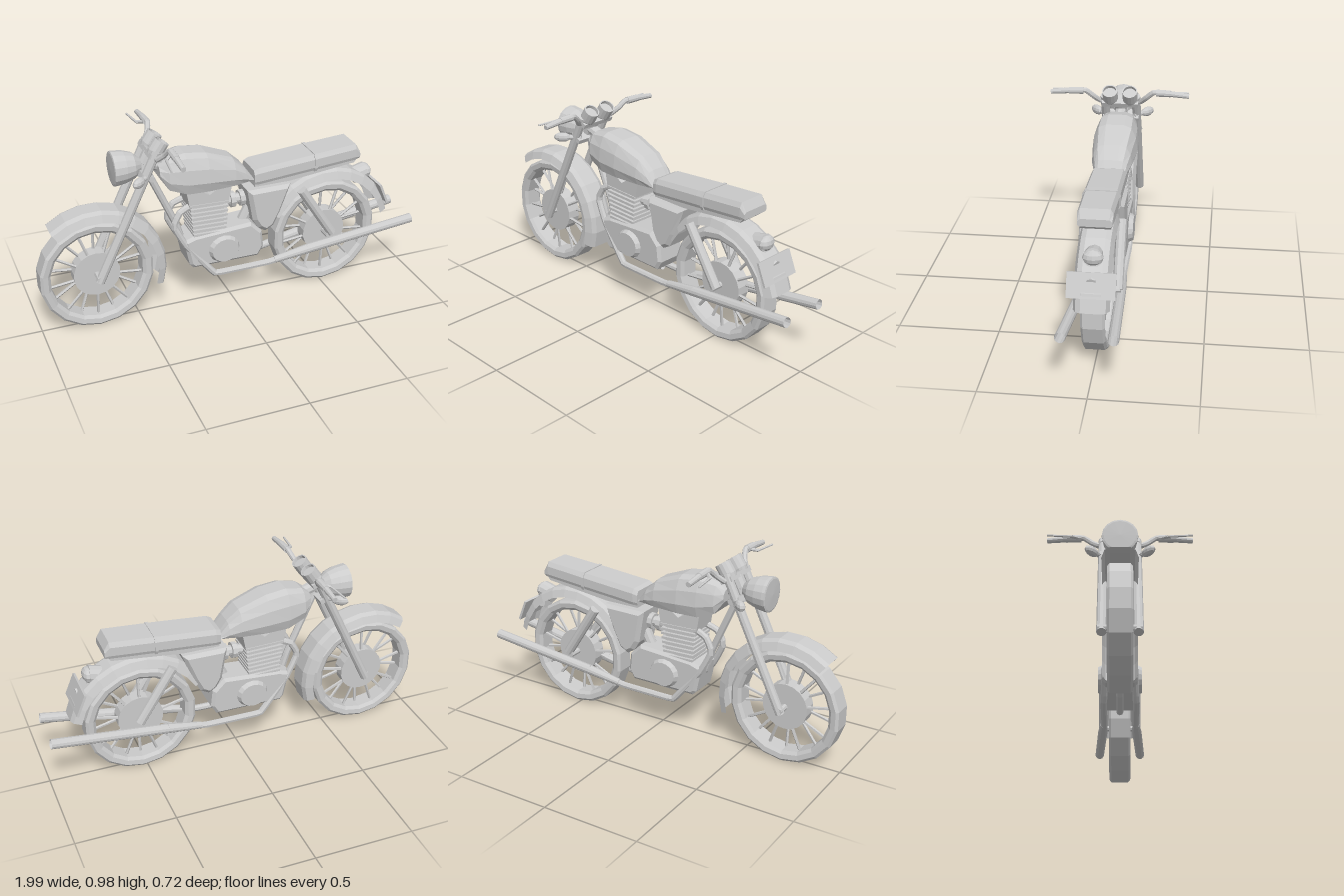
import * as THREE from 'three';

const V = (x, y, z) => new THREE.Vector3(x, y, z);
const SIDES = [1, -1];

export function createModel() {
  const root = new THREE.Group();
  root.name = 'motorcycle';
  const solid = new THREE.MeshStandardMaterial({ color: 0xcccccc, flatShading: true });
  const thin = new THREE.MeshStandardMaterial({ color: 0xcccccc, flatShading: true, side: THREE.DoubleSide });

  const add = (name, geo, parent = root, mat = solid) => {
    const m = new THREE.Mesh(geo, mat);
    m.name = name;
    parent.add(m);
    return m;
  };

  // Round bar between two points
  const rod = (name, a, b, r1, r2 = r1, sides = 10, parent = root, open = false) => {
    const dir = b.clone().sub(a);
    const geo = new THREE.CylinderGeometry(r2, r1, dir.length(), sides, 1, open);
    const m = add(name, geo, parent, open ? thin : solid);
    m.position.copy(a).add(b).multiplyScalar(0.5);
    m.quaternion.setFromUnitVectors(V(0, 1, 0), dir.normalize());
    return m;
  };

  // Bent pipe through points
  const pipe = (name, pts, r, segs = 24) => {
    const curve = new THREE.CatmullRomCurve3(pts, false, 'catmullrom', 0.2);
    return add(name, new THREE.TubeGeometry(curve, segs, r, 8), root, thin);
  };

  // Side outline extruded across z, centred on z = 0
  const slab = (name, pts, half, bevel = 0) => {
    const shape = new THREE.Shape(pts.map(([x, y]) => new THREE.Vector2(x, y)));
    const depth = 2 * (half - bevel);
    const geo = new THREE.ExtrudeGeometry(shape, {
      depth, bevelEnabled: bevel > 0, bevelSize: bevel, bevelOffset: -bevel, bevelThickness: bevel, bevelSegments: 1,
    });
    geo.translate(0, 0, -depth / 2);
    return add(name, geo);
  };

  // Loft along x: stations [x, bottom, top, halfWidth], half section [width, height] from bottom to top
  const loft = (name, stations, half) => {
    const ring = [...half, ...half.map(([w, h]) => [-w, h]).reverse()];
    const n = ring.length, pos = [], idx = [];
    for (const [x, yb, yt, w] of stations)
      for (const [u, v] of ring) pos.push(x, yb + (yt - yb) * v, w * u);
    for (let s = 0; s < stations.length - 1; s++)
      for (let i = 0; i < n; i++) {
        const a = s * n + i, b = s * n + (i + 1) % n;
        idx.push(a, a + n, b, b, a + n, b + n);
      }
    const end = (stations.length - 1) * n;
    for (let i = 1; i < n - 1; i++) idx.push(0, i, i + 1, end, end + i + 1, end + i);
    const geo = new THREE.BufferGeometry();
    geo.setAttribute('position', new THREE.Float32BufferAttribute(pos, 3));
    geo.setIndex(idx);
    geo.computeVertexNormals();
    return add(name, geo);
  };

  const lathe = (profile, segs, start = 0, length = Math.PI * 2) =>
    new THREE.LatheGeometry(profile.map(([r, y]) => new THREE.Vector2(r, y)), segs, start, length);

  // Wheels
  const wheel = (name, x) => {
    const g = new THREE.Group();
    g.name = name;
    g.position.set(x, 0.29, 0);
    root.add(g);
    const tyre = [[0.235, -0.04], [0.25, -0.053], [0.275, -0.056], [0.288, -0.045], [0.288, 0.045],
      [0.275, 0.056], [0.25, 0.053], [0.235, 0.04], [0.235, -0.04]];
    add('tyre', lathe(tyre, 18).rotateX(Math.PI / 2), g);
    add('hub', new THREE.CylinderGeometry(0.118, 0.118, 0.07, 18).rotateX(Math.PI / 2), g);
    rod('axle', V(0, 0, -0.1), V(0, 0, 0.1), 0.016, 0.016, 8, g);
    for (let i = 0; i < 18; i++) {
      const t = (i + 0.5) / 18 * Math.PI * 2, c = Math.cos(t), s = Math.sin(t), z = i % 2 ? 0.022 : -0.022;
      rod('spoke', V(c * 0.11, s * 0.11, z), V(c * 0.24, s * 0.24, z * 0.5), 0.008, 0.008, 5, g);
    }
  };
  wheel('frontWheel', -0.71);
  wheel('rearWheel', 0.52);

  // Mudguards, angles in degrees from +x
  const fender = (name, x, from, to, r) => {
    const profile = [[r - 0.05, -0.083], [r - 0.012, -0.068], [r, -0.045], [r, 0.045], [r - 0.012, 0.068], [r - 0.05, 0.083]];
    const rad = Math.PI / 180;
    const geo = lathe(profile, 10, (from + 90) * rad, (to - from) * rad).rotateX(Math.PI / 2);
    add(name, geo, root, thin).position.set(x, 0.29, 0);
  };
  fender('frontFender', -0.71, -18, 128, 0.355);
  fender('rearFender', 0.52, 12, 152, 0.365);

  // Tank and seat
  loft('fuelTank', [
    [-0.38, 0.765, 0.825, 0.07], [-0.34, 0.705, 0.853, 0.098], [-0.25, 0.672, 0.872, 0.112], [-0.14, 0.67, 0.858, 0.115],
    [0, 0.67, 0.805, 0.1], [0.06, 0.67, 0.75, 0.085], [0.105, 0.67, 0.685, 0.072],
  ], [[0.85, 0], [1, 0.28], [0.93, 0.65], [0.72, 0.92], [0.4, 1]]);
  const seatSection = [[0.92, 0], [1, 0.2], [1, 0.72], [0.84, 1]];
  loft('seat', [[0.105, 0.65, 0.725, 0.08], [0.13, 0.65, 0.735, 0.085], [0.4, 0.672, 0.757, 0.086],
    [0.665, 0.692, 0.777, 0.082], [0.69, 0.698, 0.735, 0.078]], seatSection);
  loft('seatStrap', [[0.43, 0.67, 0.763, 0.09], [0.445, 0.671, 0.764, 0.09]], seatSection);
  slab('seatBase', [[0.11, 0.635], [0.3, 0.635], [0.66, 0.675], [0.68, 0.7], [0.11, 0.66]], 0.07);

  // Engine
  slab('crankcase', [[-0.24, 0.26], [-0.22, 0.24], [0.13, 0.24], [0.16, 0.29], [0.15, 0.38], [0.09, 0.44], [-0.21, 0.42], [-0.27, 0.4]], 0.085, 0.015);
  for (const s of SIDES) {
    const cover = add('engineCover', new THREE.CylinderGeometry(0.07, 0.087, 0.03, 16).rotateX(s * Math.PI / 2));
    cover.position.set(-0.06, 0.325, s * 0.093);
    cover.scale.y = 0.9;
  }
  add('cylinderBarrel', new THREE.BoxGeometry(0.16, 0.2, 0.12)).position.set(-0.132, 0.49, 0);
  for (let i = 0; i < 8; i++) {
    const f = add('coolingFin', new THREE.BoxGeometry(0.17 + 0.005 * i, 0.012, 0.15));
    f.position.set(-0.132, 0.42 + i * 0.0235, 0);
    f.rotation.z = -0.03;
  }
  slab('cylinderHead', [[-0.235, 0.58], [-0.03, 0.58], [-0.012, 0.67], [-0.075, 0.67], [-0.13, 0.635], [-0.19, 0.67], [-0.25, 0.67]], 0.07);
  rod('carburettor', V(-0.04, 0.55, 0), V(0.1, 0.555, 0), 0.028, 0.028, 10);
  for (const x of [0, 0.05]) rod('carburettorRing', V(x, 0.552, 0), V(x + 0.025, 0.553, 0), 0.042, 0.042, 10);
  slab('sideCover', [[0.07, 0.62], [0.1, 0.45], [0.13, 0.4], [0.17, 0.375], [0.215, 0.4], [0.25, 0.47], [0.305, 0.62]], 0.09, 0.02);
  rod('rearEngineMount', V(0.07, 0.42, 0), V(0.11, 0.5, 0), 0.03);

  // Frame
  rod('headstock', V(-0.47, 0.775, 0), V(-0.41, 0.89, 0), 0.032);
  rod('topTube', V(-0.45, 0.84, 0), V(-0.33, 0.8, 0), 0.03);
  pipe('downTube', [V(-0.44, 0.82, 0), V(-0.29, 0.48, 0), V(-0.25, 0.36, 0), V(-0.14, 0.22, 0), V(0.1, 0.22, 0)], 0.018);

  // Fork, suspension, exhaust and indicators on both sides
  for (const s of SIDES) {
    rod('forkLeg', V(-0.71, 0.27, s * 0.082), V(-0.4, 0.92, s * 0.082), 0.023);
    rod('shockAbsorber', V(0.36, 0.58, s * 0.088), V(0.54, 0.3, s * 0.088), 0.025);
    pipe('exhaustPipe', [V(-0.2, 0.59, s * 0.045), V(-0.28, 0.56, s * 0.055), V(-0.315, 0.49, s * 0.06), V(-0.255, 0.37, s * 0.068),
      V(-0.12, 0.2, s * 0.078), V(-0.09, 0.188, s * 0.08), V(0.19, 0.19, s * 0.08), V(0.3, 0.212, s * 0.085)], 0.017, 32);
    rod('silencer', V(0.22, 0.197, s * 0.082), V(0.4, 0.228, s * 0.09), 0.018, 0.025, 12);
    rod('silencer', V(0.4, 0.228, s * 0.09), V(0.995, 0.31, s * 0.117), 0.025, 0.025, 12, root, true);
    rod('indicatorStem', V(-0.43, 0.8, s * 0.07), V(-0.48, 0.8, s * 0.11), 0.012);
    const lamp = add('indicator', new THREE.SphereGeometry(1, 10, 6));
    lamp.scale.set(0.045, 0.025, 0.022);
    lamp.position.set(-0.505, 0.8, s * 0.135);
    lamp.rotation.y = s * 0.7;
  }
  for (const [x, y] of [[-0.405, 0.89], [-0.45, 0.795]]) {
    const yoke = add('forkYoke', new THREE.BoxGeometry(0.065, 0.025, 0.19));
    yoke.position.set(x, y, 0);
    yoke.rotation.z = -0.45;
  }

  // Headlight with a flat lens
  const bowl = [[0, -0.15], [0.035, -0.14], [0.065, -0.105], [0.08, -0.06], [0.086, -0.015], [0.086, 0], [0.077, 0.003], [0, 0.006]];
  add('headlight', lathe(bowl, 16).rotateZ(Math.PI / 2)).position.set(-0.6, 0.83, 0);

  // Gauges, open cups tilted back
  const cup = [[0, -0.04], [0.034, -0.04], [0.04, -0.02], [0.04, 0.04], [0.034, 0.04], [0.034, 0.022], [0, 0.022]];
  for (const s of SIDES) {
    const gauge = add('gauge', lathe(cup, 14));
    gauge.position.set(-0.385, 0.925, s * 0.052);
    gauge.rotation.z = -0.6;
  }

  // Handlebar, grips and levers
  pipe('handlebar', [V(-0.36, 0.955, 0.27), V(-0.36, 0.96, 0.18), V(-0.375, 0.925, 0.14), V(-0.405, 0.89, 0.105),
    V(-0.41, 0.886, 0.05), V(-0.41, 0.886, -0.05), V(-0.405, 0.89, -0.105), V(-0.375, 0.925, -0.14),
    V(-0.36, 0.96, -0.18), V(-0.36, 0.955, -0.27)], 0.014, 40);
  for (const s of SIDES) {
    rod('clampSleeve', V(-0.36, 0.957, s * 0.19), V(-0.36, 0.955, s * 0.265), 0.019, 0.018);
    rod('grip', V(-0.36, 0.955, s * 0.26), V(-0.36, 0.945, s * 0.36), 0.016, 0.013);
    rod('leverArm', V(-0.365, 0.955, s * 0.2), V(-0.4, 0.945, s * 0.235), 0.008, 0.008, 6);
    rod('lever', V(-0.4, 0.945, s * 0.232), V(-0.415, 0.943, s * 0.358), 0.007, 0.005, 6);
  }

  // Tail lamp and number plate
  rod('tailLamp', V(0.69, 0.565, 0), V(0.765, 0.585, 0), 0.045, 0.045, 12);
  const lens = add('tailLens', new THREE.SphereGeometry(1, 12, 6));
  lens.scale.set(0.03, 0.037, 0.048);
  lens.position.set(0.762, 0.585, 0);
  const plate = add('numberPlate', new THREE.BoxGeometry(0.012, 0.118, 0.22));
  plate.position.set(0.828, 0.48, 0);
  plate.rotation.z = 0.4;
  rod('plateBracket', V(0.78, 0.5, 0), V(0.825, 0.49, 0), 0.025, 0.025, 8);

  return root;
}
